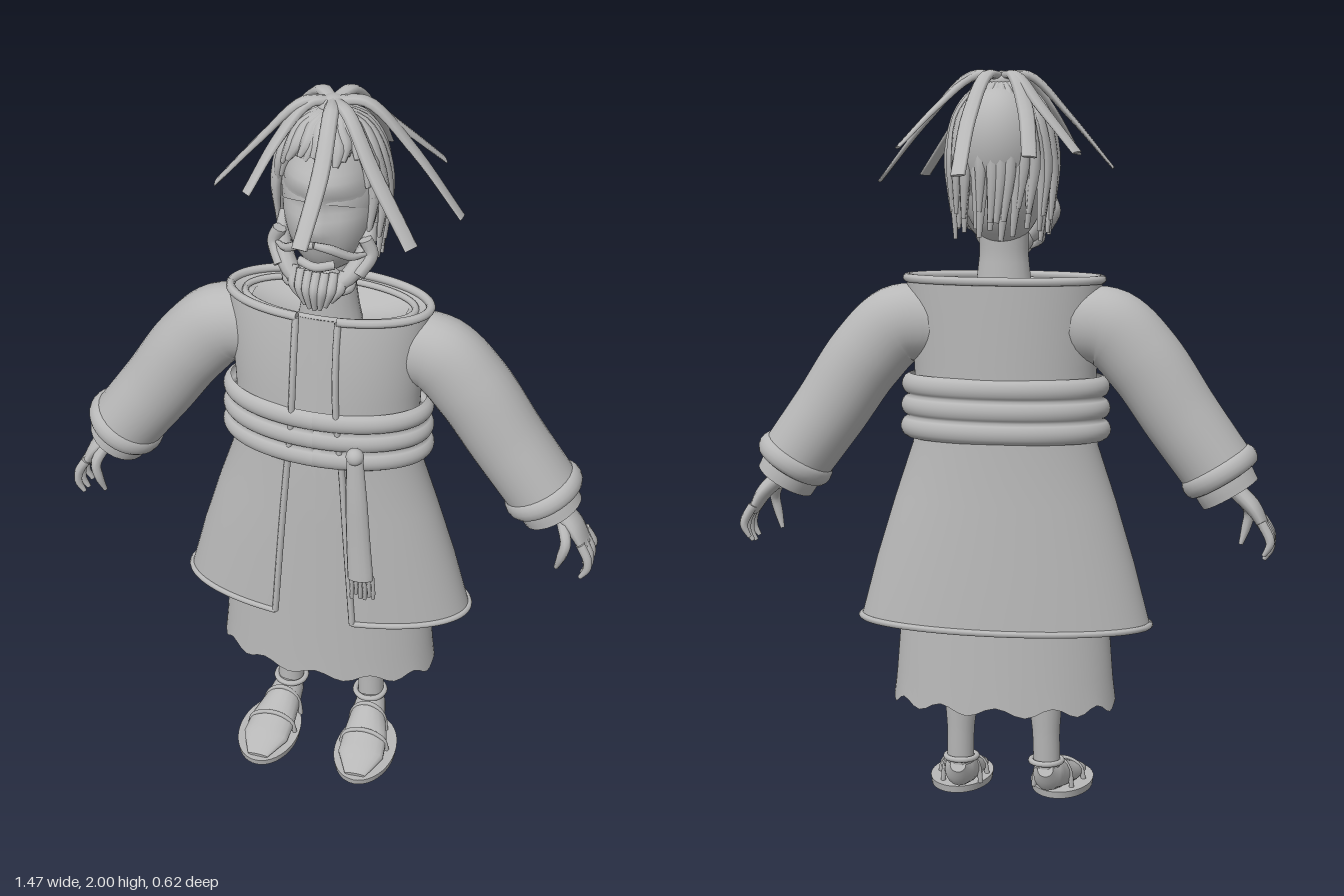
import * as THREE from 'three';

const V = (x, y, z) => new THREE.Vector3(x, y, z);
const X = V(1, 0, 0), Z = V(0, 0, 1);

function build(pos, idx) {
  const g = new THREE.BufferGeometry();
  g.setAttribute('position', new THREE.Float32BufferAttribute(pos, 3));
  g.setIndex(idx);
  g.computeVertexNormals();
  return g;
}

// Sweep an oval along a smooth path; radii are [across, along ref] at each path point
function sweep(pts, radii, ref, sides = 10, rows = 14, capped = true) {
  const curve = new THREE.CatmullRomCurve3(pts), pos = [], idx = [];
  const ring = (u) => {
    const p = curve.getPoint(u), t = curve.getTangent(u);
    const b = ref.clone().addScaledVector(t, -ref.dot(t)).normalize();
    const n = b.clone().cross(t), f = u * (radii.length - 1);
    const i = Math.min(Math.floor(f), radii.length - 2);
    const [rn, rb] = [0, 1].map((k) => THREE.MathUtils.lerp(radii[i][k], radii[i + 1][k], f - i));
    for (let j = 0; j < sides; j++) {
      const a = (j / sides) * Math.PI * 2;
      const q = p.clone().addScaledVector(n, rn * Math.cos(a)).addScaledVector(b, rb * Math.sin(a));
      pos.push(q.x, q.y, q.z);
    }
    return p;
  };
  for (let i = 0; i <= rows; i++) ring(i / rows);
  for (let i = 0; i < rows; i++) for (let j = 0; j < sides; j++) {
    const k = (j + 1) % sides, a = i * sides, b = a + sides;
    idx.push(a + j, a + k, b + k, a + j, b + k, b + j);
  }
  if (capped) for (const u of [0, 1]) {
    const s = pos.length / 3, p = ring(u), c = s + sides;
    pos.push(p.x, p.y, p.z);
    for (let j = 0; j < sides; j++) {
      const k = (j + 1) % sides;
      idx.push(c, s + (u ? j : k), s + (u ? k : j));
    }
  }
  return build(pos, idx);
}
const rod = (pts, r, sides = 8, rows = 14) => sweep(pts, [[r, r], [r, r]], V(0.13, 0.21, 0.97), sides, rows);

// Cloth sections: [y, half width, front z, back z, half width of the front gap]
function onCloth([y, rx, zf, zb], a) {
  return V(rx * Math.sin(a), y, (zf + zb) / 2 + ((zf - zb) / 2) * Math.cos(a));
}
const gapAngle = (s) => Math.asin((s[4] || 0) / s[1]);
function cloth(sections, hemWave = 0, n = 72) {
  const pos = [], idx = [];
  sections.forEach((s, i) => {
    const g = gapAngle(s);
    for (let j = 0; j <= n; j++) {
      const a = g + (j / n) * (Math.PI * 2 - 2 * g), p = onCloth(s, a);
      if (i === sections.length - 1) p.y += hemWave * Math.cos(12 * a);
      pos.push(p.x, p.y, p.z);
    }
  });
  for (let i = 0; i < sections.length - 1; i++) for (let j = 0; j < n; j++) {
    const a = i * (n + 1) + j, b = a + n + 1;
    idx.push(a, b, b + 1, a, b + 1, a + 1);
  }
  return build(pos, idx);
}

export function createModel() {
  const model = new THREE.Group();
  const clay = new THREE.MeshStandardMaterial({ color: 0xb8b8b8, side: THREE.DoubleSide });
  clay.name = 'clay grey';
  const add = (name, geo, parent = model) => {
    const m = new THREE.Mesh(geo, clay);
    m.name = name;
    parent.add(m);
    return m;
  };
  const group = (name) => {
    const g = new THREE.Group();
    g.name = name;
    model.add(g);
    return g;
  };
  const ball = (name, x, y, z, rx, ry, rz, parent) => {
    const m = add(name, new THREE.SphereGeometry(1, 32, 24), parent);
    m.position.set(x, y, z);
    m.scale.set(rx, ry, rz);
    return m;
  };
  let seed = 7;
  const rnd = () => (seed = (seed * 16807) % 2147483647) / 2147483647 - 0.5;

  // Inner robe with a wavy hem
  add('robe', cloth([[1.44, 0.245, 0.14, -0.075], [1.1, 0.23, 0.172, -0.075], [0.8, 0.26, 0.18, -0.085],
    [0.51, 0.29, 0.185, -0.1], [0.36, 0.302, 0.188, -0.108], [0.285, 0.31, 0.19, -0.112]], 0.013));
  add('robeNeckline', cloth([[1.38, 0.05, 0.08, -0.03], [1.41, 0.16, 0.11, -0.05], [1.44, 0.235, 0.138, -0.075], [1.452, 0.265, 0.155, -0.09]]));

  // Open coat, edged all round
  const coat = [[1.45, 0.266, 0.158, -0.092, 0.055], [1.36, 0.262, 0.178, -0.092, 0.055], [1.22, 0.25, 0.192, -0.09, 0.058],
    [1.1, 0.245, 0.19, -0.088, 0.065], [1.0, 0.255, 0.192, -0.09, 0.075], [0.85, 0.305, 0.2, -0.1, 0.086],
    [0.68, 0.357, 0.206, -0.114, 0.098], [0.51, 0.402, 0.21, -0.124, 0.11]];
  add('coat', cloth(coat));
  for (const s of [1, -1])
    add('coatFrontEdge', rod(coat.map((c) => onCloth(c, s * gapAngle(c))), 0.009, 8, 40));
  const hem = coat[coat.length - 1], hg = gapAngle(hem), rim = (s, g) =>
    Array.from({ length: 49 }, (_, i) => onCloth(s, g + (i / 48) * (Math.PI * 2 - 2 * g)));
  add('coatHem', rod(rim(hem, hg), 0.009, 8, 96));
  add('collar', rod(rim([1.452, 0.264, 0.157, -0.091], 0.2), 0.012, 8, 96));
  add('innerCollar', rod(rim([1.44, 0.225, 0.132, -0.068], 0), 0.009, 8, 96));

  // Wrapped sash: three soft rolls
  const rolls = [];
  for (let i = 0; i <= 24; i++) {
    const b = 0.02 * Math.abs(Math.sin((i / 24) * Math.PI * 3)) ** 0.6;
    const y = 1.192 - (i / 24) * 0.175, w = 0.264 + 0.006 * (i / 24);
    rolls.push([y, w + b, 0.19 + b * 0.8, -0.088 - b * 0.7]);
  }
  add('sash', cloth(rolls));
  const tail = group('sashTail');
  add('sashStrip', sweep([V(0.118, 1.09, 0.215), V(0.125, 0.95, 0.222), V(0.132, 0.82, 0.225), V(0.14, 0.7, 0.23)],
    [[0.014, 0.022], [0.017, 0.03], [0.018, 0.033], [0.018, 0.036]], X, 12), tail);
  ball('sashKnot', 0.118, 1.09, 0.215, 0.024, 0.024, 0.022, tail);
  for (let i = 0; i < 6; i++) {
    const x = 0.112 + i * 0.012;
    add('fringe', rod([V(x, 0.71, 0.228), V(x + 0.003, 0.66, 0.226), V(x + 0.002, 0.63 + rnd() * 0.02, 0.222)], 0.0055, 6, 6), tail);
  }

  for (const s of [1, -1]) {
    // Sleeve and turned cuff
    const arm = group(s > 0 ? 'leftArm' : 'rightArm'), P = (x, y, z) => V(s * x, y, z);
    add('sleeve', sweep([P(0.19, 1.335, 0.03), P(0.29, 1.322, 0.03), P(0.38, 1.235, 0.03), P(0.48, 1.09, 0.03), P(0.585, 0.945, 0.03)],
      [[0.1, 0.08], [0.108, 0.09], [0.108, 0.094], [0.104, 0.095], [0.1, 0.1]], Z, 28, 28, false), arm);
    const d = P(0.52, -0.85, 0).normalize();
    const band = add('cuffBand', new THREE.TorusGeometry(0.094, 0.017, 12, 36), arm);
    band.position.set(s * 0.585, 0.945, 0.03);
    band.quaternion.setFromUnitVectors(Z, d);
    band.scale.z = 1.6;
    add('innerCuff', sweep([P(0.57, 0.968, 0.03), P(0.6, 0.91, 0.03), P(0.615, 0.885, 0.03)],
      [[0.085, 0.085], [0.086, 0.086], [0.084, 0.084]], Z, 24, 4, false), arm);
    // Hand with curled fingers
    add('palm', sweep([P(0.57, 0.97, 0.03), P(0.625, 0.9, 0.032), P(0.675, 0.85, 0.033), P(0.708, 0.795, 0.034)],
      [[0.03, 0.034], [0.025, 0.03], [0.022, 0.045], [0.014, 0.046]], Z, 14), arm);
    for (let i = 0; i < 4; i++) {
      const z = 0.072 - i * 0.026, e = [0.008, 0, 0.006, 0.022][i], o = (1.5 - i) * 0.004;
      add('finger', sweep([P(0.7, 0.815, z), P(0.722, 0.775, z + o), P(0.724, 0.735 + e, z + o * 1.5), P(0.708, 0.705 + e, z + o * 1.5)],
        [[0.013, 0.013], [0.013, 0.013], [0.011, 0.011], [0.006, 0.007]], Z, 8, 10), arm);
    }
    add('thumb', sweep([P(0.645, 0.865, 0.055), P(0.663, 0.825, 0.088), P(0.655, 0.78, 0.092), P(0.642, 0.735, 0.085)],
      [[0.016, 0.016], [0.015, 0.015], [0.013, 0.013], [0.006, 0.006]], Z, 8, 10), arm);

    // Leg, foot and sandal
    const leg = group(s > 0 ? 'leftLeg' : 'rightLeg');
    add('shin', sweep([P(0.118, 0.55, 0.02), P(0.118, 0.3, 0.022), P(0.12, 0.2, 0.022), P(0.122, 0.1, 0.025)],
      [[0.055, 0.055], [0.047, 0.044], [0.038, 0.037], [0.037, 0.034]], Z, 18), leg);
    add('foot', sweep([P(0.123, 0.098, -0.008), P(0.125, 0.078, 0.03), P(0.13, 0.06, 0.09), P(0.138, 0.045, 0.15), P(0.143, 0.034, 0.22), P(0.145, 0.024, 0.292)],
      [[0.02, 0.022], [0.05, 0.042], [0.046, 0.052], [0.037, 0.064], [0.024, 0.066], [0.006, 0.03]], X, 18, 20), leg);
    const sole = add('sole', new THREE.CylinderGeometry(1, 0.97, 0.02, 40), leg);
    sole.position.set(s * 0.145, 0.01, 0.172);
    sole.scale.set(0.088, 1, 0.137);
    const ring = add('ankleStrap', new THREE.TorusGeometry(0.043, 0.008, 8, 28), leg);
    ring.position.set(s * 0.12, 0.115, 0.028);
    ring.rotation.x = Math.PI / 2;
    for (const [z, h, w, x] of [[0.085, 0.11, 0.054, 0.13], [0.165, 0.08, 0.068, 0.139]])
      add('sandalStrap', rod([0, 1, 2, 3, 4, 5, 6].map((i) => {
        const a = (i / 6) * Math.PI;
        return P(x + w * Math.cos(a), 0.018 + (h - 0.018) * Math.sin(a) ** 0.8, z);
      }), 0.007, 6, 20), leg);
  }

  // Neck and head
  const head = group('head');
  add('neck', sweep([V(0, 1.36, 0.025), V(0, 1.44, 0.028), V(0, 1.52, 0.03), V(0, 1.62, 0.03)],
    [[0.06, 0.09], [0.058, 0.075], [0.055, 0.066], [0.06, 0.07]], X, 20), head);
  const face = new THREE.SphereGeometry(1, 40, 32), fp = face.attributes.position;
  for (let i = 0; i < fp.count; i++) {
    const x = fp.getX(i), y = fp.getY(i), z = fp.getZ(i), front = Math.max(0, z);
    const bump = 0.1 * Math.exp(-((y - 0.33) ** 2) / 0.02) - 0.1 * Math.exp(-((y - 0.08) ** 2) / 0.025) * Math.min(1, Math.abs(x) * 4)
      + 0.12 * Math.exp(-((y + 0.22) ** 2) / 0.02 - x * x / 0.04);
    fp.setXYZ(i, x * 0.12, 1.75 + y * 0.21, 0.02 + z * 0.13 + bump * front * 0.13 + (y < 0 ? -y * 0.03 * front : 0));
  }
  face.computeVertexNormals();
  add('face', face, head);
  for (const s of [1, -1]) ball('ear', s * 0.122, 1.74, 0.02, 0.015, 0.035, 0.025, head);

  // Beard and moustache
  const beard = group('beard');
  ball('chinBeard', 0, 1.55, 0.128, 0.065, 0.045, 0.045, beard);
  for (const s of [1, -1]) {
    add('jawBeard', sweep([V(s * 0.112, 1.69, 0.045), V(s * 0.108, 1.635, 0.085), V(s * 0.08, 1.58, 0.125), V(s * 0.035, 1.545, 0.15)],
      [[0.014, 0.018], [0.022, 0.026], [0.024, 0.026], [0.018, 0.02]], Z, 10), beard);
    add('cheekLock', rod([V(s * 0.11, 1.67, 0.1), V(s * 0.125, 1.63, 0.1), V(s * 0.1, 1.585, 0.13)], 0.018), beard);
    add('moustache', sweep([V(0, 1.677, 0.175), V(s * 0.04, 1.668, 0.168), V(s * 0.085, 1.64, 0.14), V(s * 0.115, 1.635, 0.11)],
      [[0.009, 0.009], [0.012, 0.012], [0.011, 0.011], [0.005, 0.005]], Z, 8), beard);
  }
  add('lip', rod([V(-0.045, 1.615, 0.15), V(0, 1.61, 0.165), V(0.045, 1.615, 0.15)], 0.012), beard);
  for (let i = -4; i <= 4; i++) {
    const a = i / 4;
    add('beardLock', sweep([V(0.085 * a, 1.59, 0.155 - 0.04 * a * a), V(0.08 * a, 1.55, 0.178 - 0.04 * a * a), V(0.052 * a, 1.492 + 0.035 * a * a, 0.175 - 0.03 * a * a)],
      [[0.009, 0.011], [0.014, 0.014], [0.005, 0.006]], X, 8, 10), beard);
  }

  // Hair: a cap covered by two layers of hanging locks
  const hair = group('hair');
  const cap = add('hairCap', new THREE.SphereGeometry(1, 32, 16, 0, Math.PI * 2, 0, Math.PI * 0.62), hair);
  cap.position.set(0, 1.78, -0.005);
  cap.scale.set(0.128, 0.185, 0.142);
  cap.rotation.x = -0.45;
  const scalp = (a, y, r) => {
    const k = y > 1.77 ? Math.sqrt(Math.max(0, 1 - ((y - 1.77) / 0.2) ** 2)) : 1 - (1.77 - y) * 0.25;
    return V(Math.sin(a) * k * (0.128 + r), y, 0.005 + Math.cos(a) * k * (0.13 + r));
  };
  for (let layer = 0; layer < 2; layer++) for (let i = 0; i < 26; i++) {
    const a = ((i + layer / 2) / 26) * Math.PI * 2, off = Math.abs(a > Math.PI ? a - Math.PI * 2 : a);
    const ramp = THREE.MathUtils.smoothstep(off, 0.75, 1.45);
    const end = THREE.MathUtils.lerp(1.875, 1.575, ramp) + rnd() * 0.04 + layer * 0.05 * ramp, tw = rnd() * 0.3;
    const pts = [0, 0.2, 0.4, 0.7, 1].map((u, k) =>
      scalp(a + tw * u + (k % 2 ? 0.04 : -0.04), 1.965 + (end - 1.965) * u ** 1.4, 0.004 + layer * 0.008));
    add('hairLock', sweep(pts, [[0.01, 0.01], [0.015, 0.017], [0.016, 0.019], [0.015, 0.018], [0.005, 0.007]],
      V(Math.cos(a), 0, -Math.sin(a)), 8, 14), hair);
  }

  // Flat loose strands springing from the crown: end x, y, z
  const ends = [[0.06, 1.735, -0.305], [-0.11, 1.78, -0.235], [-0.22, 1.79, -0.155], [-0.29, 1.745, 0.05], [-0.18, 1.78, 0.15],
    [0, 1.735, 0.3], [0.25, 1.72, 0.2], [0.33, 1.71, 0], [0.255, 1.8, -0.12]];
  ends.forEach(([x, y, z], i) => {
    const l = Math.hypot(x, z), t = V(z / l, 0, -x / l), bend = (i % 2 ? 1 : -1) * 0.02;
    const at = (u, h) => V(x * u, h, z * u).addScaledVector(t, bend * Math.sin(u * Math.PI));
    add('looseStrand', sweep([at(0.03, 1.984), at(0.25, 1.984), at(0.6, 1.984 - (1.984 - y) * 0.42), V(x, y, z)],
      [[0.012, 0.016], [0.012, 0.02], [0.008, 0.022], [0.004, 0.02]], t, 8, 16), hair);
  });
  ball('crownKnot', 0, 1.97, 0, 0.04, 0.028, 0.04, hair);
  return model;
}
